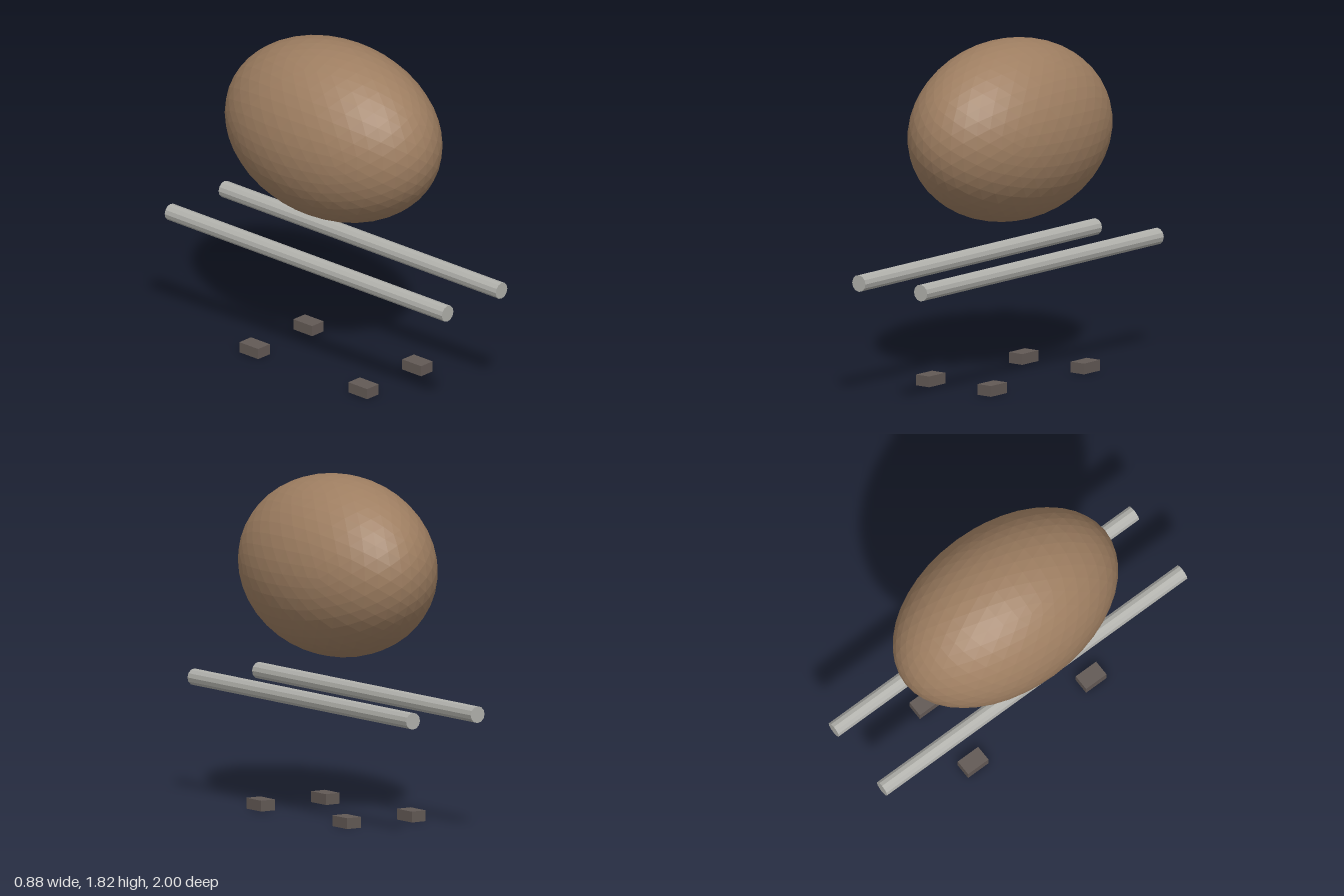
import * as THREE from 'three';

export function createModel() {
  const group = new THREE.Group();
  const material = (name, color) => {
    const m = new THREE.MeshStandardMaterial({ color, flatShading: true });
    m.name = name;
    return m;
  };
  const brown = material('brown', 0x9e7e61);
  const grey = material('grey', 0xb0b0ab);
  const dark = material('dark grey', 0x625955);

  const add = (name, geometry, mat, x, y, z) => {
    const mesh = new THREE.Mesh(geometry, mat);
    mesh.name = name;
    mesh.position.set(x, y, z);
    group.add(mesh);
    return mesh;
  };

  // Faceted egg-like body, longest front to back
  const body = new THREE.IcosahedronGeometry(1, 7).scale(0.438, 0.485, 0.673);
  add('body', body, brown, 0, 1.335, -0.017);

  // Two long rods below the body, and a pair of foot blocks under each
  const rod = new THREE.CylinderGeometry(0.045, 0.045, 2, 12).rotateX(Math.PI / 2);
  const foot = new THREE.BoxGeometry(0.09, 0.058, 0.136);
  for (const [side, s] of [['left', 1], ['right', -1]]) {
    add(`${side}Rod`, rod, grey, s * 0.209, 0.636, 0);
    for (const [end, e] of [['Front', 1], ['Back', -1]]) {
      add(`${side}${end}Foot`, foot, dark, s * 0.209, 0.029, e * 0.393);
    }
  }
  return group;
}
